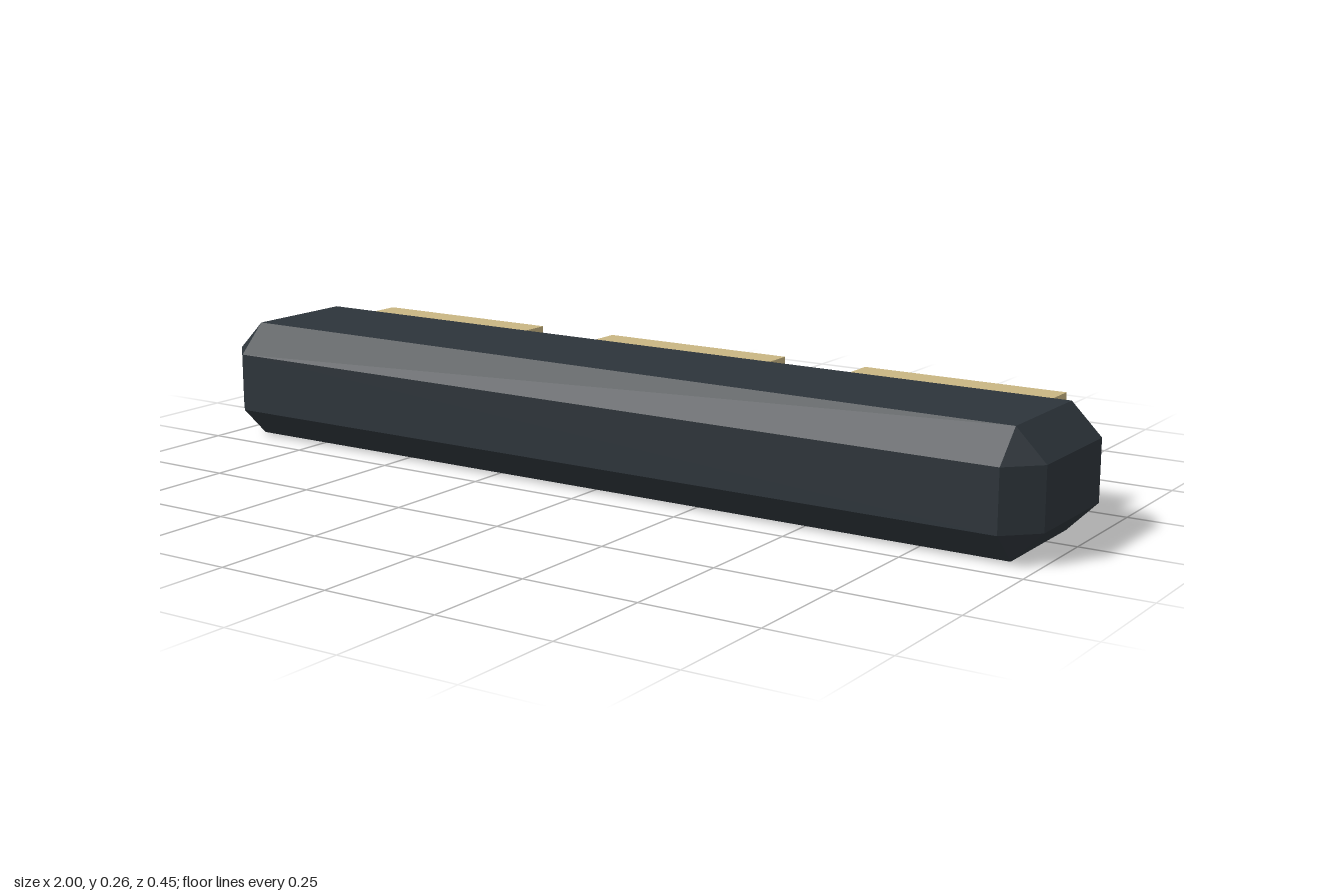
import * as THREE from 'three';
import { ConvexGeometry } from 'three/addons/geometries/ConvexGeometry.js';

// Box with every edge and corner cut off by c
function chamferedBox(w, h, d, c) {
  const half = [w / 2, h / 2, d / 2];
  const points = [];
  for (const sx of [-1, 1]) for (const sy of [-1, 1]) for (const sz of [-1, 1]) {
    for (let axis = 0; axis < 3; axis++) {
      const p = half.map((v, i) => (i === axis ? v : v - c));
      points.push(new THREE.Vector3(sx * p[0], sy * p[1], sz * p[2]));
    }
  }
  return new ConvexGeometry(points);
}

export function createModel() {
  const model = new THREE.Group();
  const darkSlate = new THREE.MeshStandardMaterial({ name: 'darkSlate', color: 0x2d343a, flatShading: true });
  const sand = new THREE.MeshStandardMaterial({ name: 'sand', color: 0xc9b683, flatShading: true });

  // Long chamfered bar
  const bar = new THREE.Mesh(chamferedBox(2, 0.258, 0.387, 0.0645), darkSlate);
  bar.name = 'bar';
  bar.position.set(0, 0.129, 0.0325);
  model.add(bar);

  // Three blocks set into the back of the bar
  const blockGeometry = new THREE.BoxGeometry(0.451, 0.161, 0.129);
  ['backBlockRight', 'backBlockMiddle', 'backBlockLeft'].forEach((name, i) => {
    const block = new THREE.Mesh(blockGeometry, sand);
    block.name = name;
    block.position.set((i - 1) * 0.645, 0.1625, -0.1615);
    model.add(block);
  });

  return model;
}
